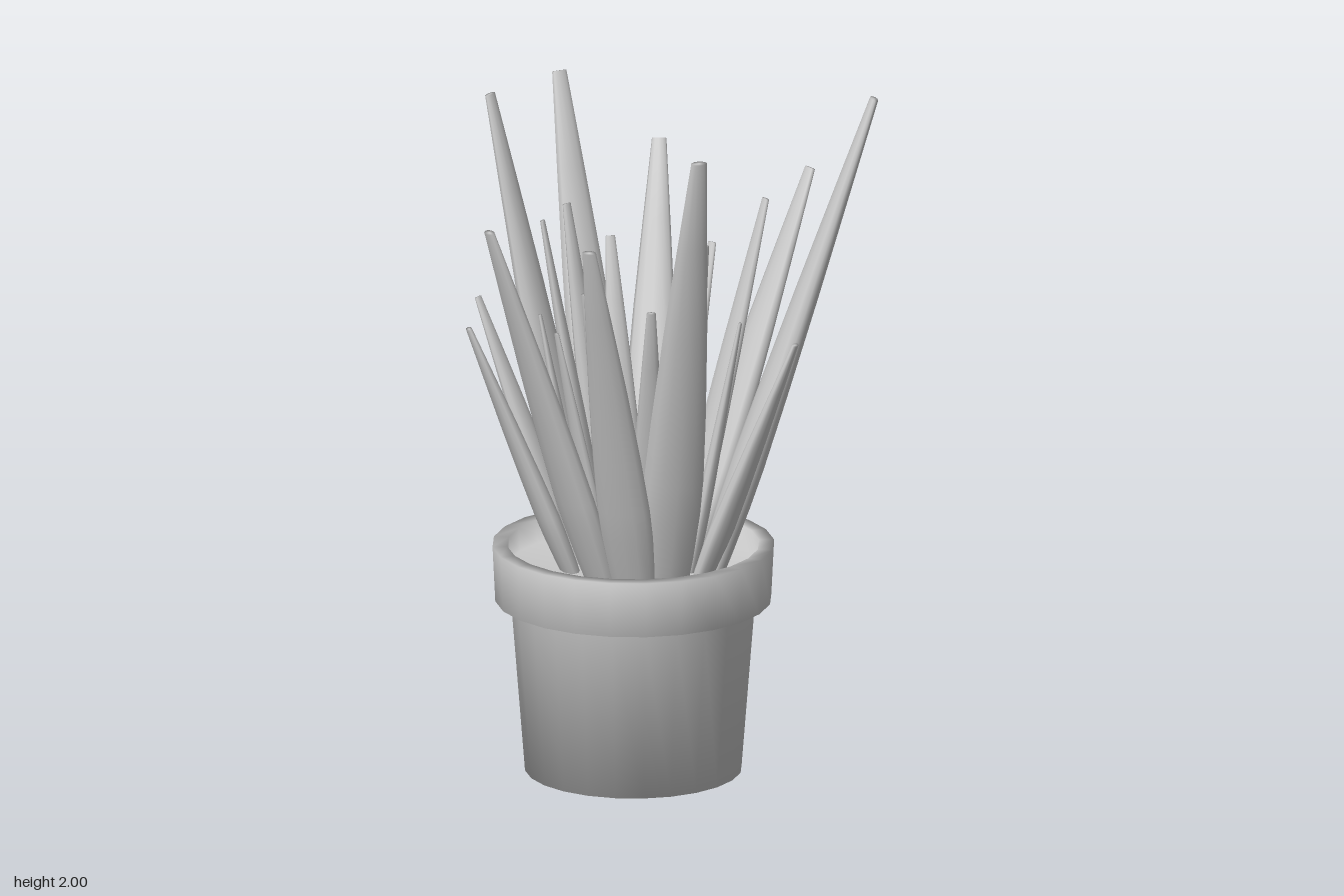
import * as THREE from 'three';

const potMat = new THREE.MeshStandardMaterial({ color: 0xcccccc, side: THREE.DoubleSide });
const leafMat = new THREE.MeshStandardMaterial({ color: 0xcccccc });

const BASE_Y = 0.58;

// tip x, y, z, base x, z, half width
const LEAVES = [
  // tall and outer leaves
  [0.05, 1.70, -0.56, 0.02, -0.14, 0.08],
  [0.415, 2.0, -0.525, 0.19, -0.1, 0.088],
  [0.485, 1.34, -0.2, 0.22, -0.05, 0.058],
  [0.49, 1.94, 0.14, 0.18, 0.04, 0.09],
  [0.38, 1.70, 0.445, 0.16, 0.13, 0.08],
  [0.05, 1.70, 0.56, 0.05, 0.165, 0.082],
  [-0.185, 1.34, 0.465, -0.085, 0.175, 0.062],
  [-0.42, 1.94, 0.225, -0.14, 0.08, 0.085],
  [-0.43, 1.34, 0.26, -0.17, 0.11, 0.058],
  [-0.495, 1.94, -0.07, -0.14, -0.02, 0.088],
  [-0.44, 1.70, -0.38, -0.13, -0.115, 0.08],
  [-0.04, 1.34, -0.505, -0.03, -0.17, 0.058],
  // inner leaves
  [0.12, 1.66, -0.355, 0.07, -0.09, 0.062],
  [0.3, 1.62, -0.015, 0.12, -0.02, 0.055],
  [-0.175, 1.62, 0.215, -0.055, 0.08, 0.052],
  [-0.275, 1.62, 0.06, -0.1, 0.02, 0.057],
  [-0.08, 1.49, -0.31, -0.03, -0.085, 0.054],
  [0.14, 1.49, 0.29, 0.055, 0.08, 0.05],
  [-0.3, 1.49, -0.11, -0.1, -0.04, 0.054],
  [0.29, 1.45, 0.165, 0.1, 0.045, 0.05],
  [0.0, 1.34, 0.29, -0.01, 0.11, 0.036],
  [0.22, 1.34, -0.195, 0.12, -0.09, 0.04],
  [-0.11, 1.2, -0.26, -0.065, -0.11, 0.04],
  [-0.18, 1.34, 0.22, -0.09, 0.11, 0.04],
];

// relative width along a leaf, from base to blunt tip
const TAPER = [[0, 0.75], [0.07, 0.87], [0.17, 0.98], [0.25, 1], [0.4, 0.91], [0.6, 0.73], [0.8, 0.5], [1, 0.26], [1, 0]];

// Flattened tapering leaf, wide side turned to the plant's axis
function makeLeaf([tx, ty, tz, bx, bz, w]) {
  const geo = new THREE.LatheGeometry(TAPER.map(([t, r]) => new THREE.Vector2(r, t)), 12);
  const along = new THREE.Vector3(tx - bx, ty - BASE_Y, tz - bz);
  const len = along.length();
  along.normalize();
  const wide = new THREE.Vector3(along.z, 0, -along.x).normalize();
  const thick = new THREE.Vector3().crossVectors(wide, along);
  const m = new THREE.Matrix4().makeBasis(
    wide.multiplyScalar(w), along.multiplyScalar(len), thick.multiplyScalar(w * 0.52));
  m.setPosition(bx, BASE_Y, bz);
  geo.applyMatrix4(m);
  const mesh = new THREE.Mesh(geo, leafMat);
  mesh.name = 'leaf';
  return mesh;
}

// Pot in one smooth turned profile: bottom, wall, collar, inner wall, soil
function makePot() {
  const profile = [[0, 0], [0.31, 0], [0.35, 0.505], [0.395, 0.505], [0.403, 0.667],
    [0.36, 0.667], [0.355, 0.6], [0, 0.6]];
  const geo = new THREE.LatheGeometry(profile.map(([r, y]) => new THREE.Vector2(r, y)), 24);
  const pot = new THREE.Mesh(geo, potMat);
  pot.name = 'pot';
  pot.position.set(-0.01, 0, 0.015);
  return pot;
}

export function createModel() {
  const model = new THREE.Group();
  model.name = 'pottedPlant';
  model.add(makePot());

  // rosette of leaves
  const leaves = new THREE.Group();
  leaves.name = 'leaves';
  LEAVES.forEach((leaf) => leaves.add(makeLeaf(leaf)));
  model.add(leaves);

  return model;
}
